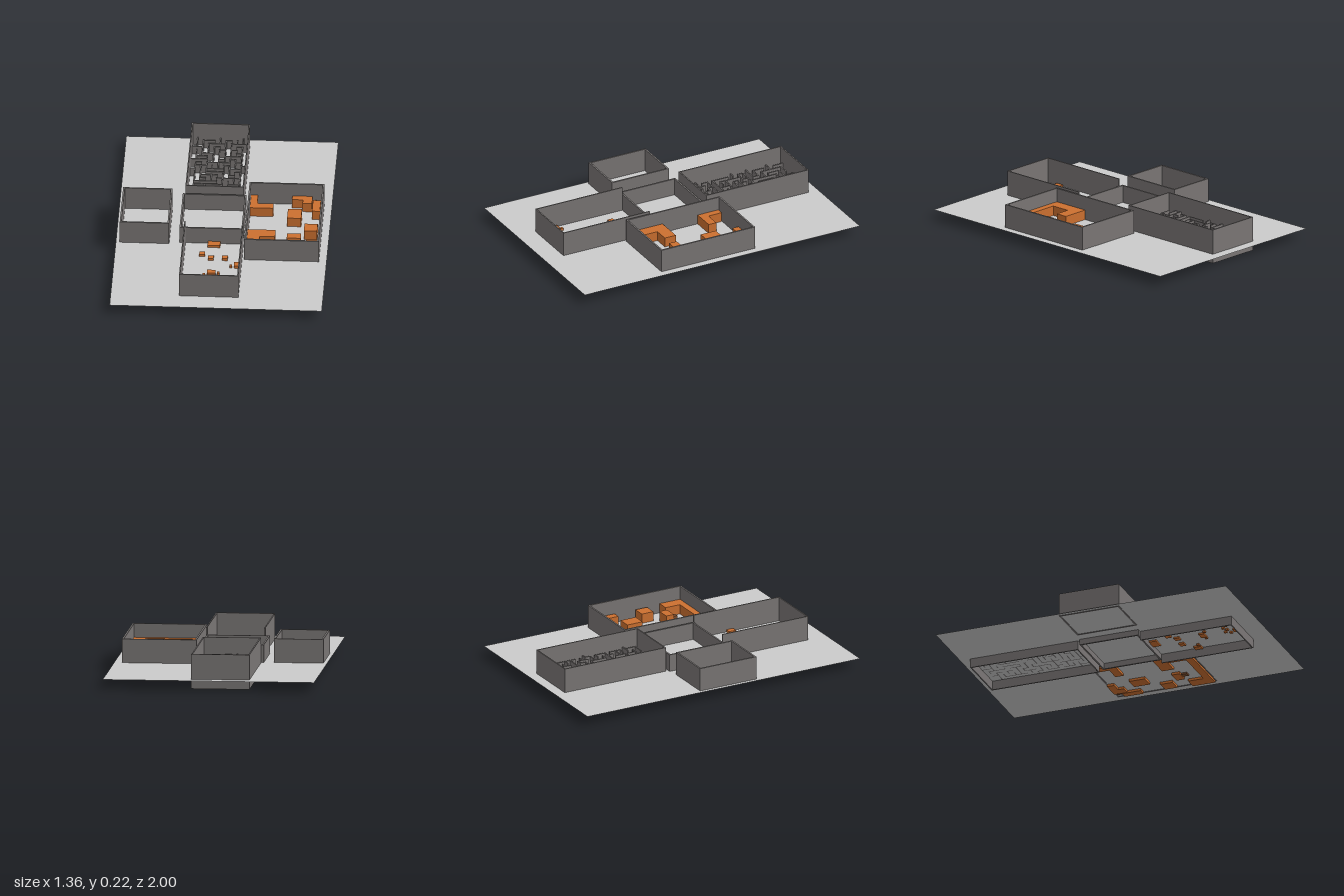
import * as THREE from 'three';
import { mergeGeometries } from 'three/addons/utils/BufferGeometryUtils.js';

const FLOOR = 0.061;
const floorMat = new THREE.MeshStandardMaterial({ color: 0xcccccc, side: THREE.DoubleSide });
const wallMat = new THREE.MeshStandardMaterial({ color: 0x7a7675 });
const orangeMat = new THREE.MeshStandardMaterial({ color: 0xcc7030 });
const brownMat = new THREE.MeshStandardMaterial({ color: 0x80502f });

// Box geometry from its limits
function slab(x0, x1, z0, z1, y0, y1) {
  return new THREE.BoxGeometry(x1 - x0, y1 - y0, z1 - z0)
    .translate((x0 + x1) / 2, (y0 + y1) / 2, (z0 + z1) / 2);
}

function addMesh(group, name, geometries, material) {
  const mesh = new THREE.Mesh(mergeGeometries(geometries), material);
  mesh.name = name;
  group.add(mesh);
}

// Walls around a rectangle; sides is a subset of 'lrfb'
function roomWalls(x0, x1, z0, z1, y0, y1, t, sides = 'lrfb') {
  const parts = {
    l: [x1 - t, x1, z0, z1],
    r: [x0, x0 + t, z0, z1],
    f: [x0 + t, x1 - t, z1 - t, z1],
    b: [x0 + t, x1 - t, z0, z0 + t],
  };
  return [...sides].map((s) => slab(...parts[s], y0, y1));
}

// Inner maze walls: carve a grid by a seeded depth-first walk
function mazeWalls(x0, x1, z0, z1, cols, rows, y0, y1, t) {
  let seed = 7;
  const rand = (n) => {
    seed = (seed * 16807) % 2147483647;
    return seed % n;
  };
  const cw = (x1 - x0) / cols, ch = (z1 - z0) / rows;
  const seen = new Set(['0,0']), open = new Set(), stack = [[0, 0]];
  while (stack.length) {
    const [c, r] = stack[stack.length - 1];
    const next = [[c + 1, r], [c - 1, r], [c, r + 1], [c, r - 1]].filter(([a, b]) =>
      a >= 0 && b >= 0 && a < cols && b < rows && !seen.has(`${a},${b}`));
    if (!next.length) { stack.pop(); continue; }
    const [a, b] = next[rand(next.length)];
    open.add(a !== c ? `v${Math.max(a, c)},${r}` : `h${c},${Math.max(b, r)}`);
    seen.add(`${a},${b}`);
    stack.push([a, b]);
  }
  const walls = [], h = t / 2;
  for (let c = 0; c < cols; c++) {
    for (let r = 0; r < rows; r++) {
      const x = x0 + c * cw, z = z0 + r * ch;
      if (c && !open.has(`v${c},${r}`)) walls.push(slab(x - h, x + h, z - h, z + ch + h, y0, y1));
      if (r && !open.has(`h${c},${r}`)) walls.push(slab(x - h, x + cw + h, z - h, z + h, y0, y1));
    }
  }
  return walls;
}

export function createModel() {
  const model = new THREE.Group();

  // Ground sheet
  const ground = new THREE.Mesh(new THREE.PlaneGeometry(1.36, 2).rotateX(-Math.PI / 2), floorMat);
  ground.position.y = FLOOR;
  ground.name = 'ground';
  model.add(ground);

  // Rooms
  addMesh(model, 'mazeOuterWalls', roomWalls(-0.257, 0.117, -0.93, -0.187, 0, 0.224, 0.008), wallMat);
  addMesh(model, 'mazeInnerWalls', mazeWalls(-0.253, 0.113, -0.926, -0.191, 10, 20, FLOOR, 0.12, 0.008), wallMat);
  addMesh(model, 'centreRoomWalls', roomWalls(-0.273, 0.135, -0.17, 0.235, 0.023, 0.175, 0.011), wallMat);
  addMesh(model, 'frontRoomWalls', roomWalls(-0.242, 0.138, 0.235, 0.864, 0, 0.224, 0.008, 'lrf'), wallMat);
  addMesh(model, 'sideRoomWalls', roomWalls(-0.655, -0.338, -0.16, 0.253, 0.058, 0.215, 0.011), wallMat);
  addMesh(model, 'furnishedRoomWalls', roomWalls(0.15, 0.63, -0.265, 0.416, 0.058, 0.215, 0.011), wallMat);

  // Furniture blocks in the large room: x0, x1, z0, z1
  const furniture = [
    [0.155, 0.205, -0.25, -0.155], [0.155, 0.31, -0.155, -0.10],
    [0.425, 0.555, -0.26, -0.21], [0.495, 0.555, -0.21, -0.17],
    [0.56, 0.61, -0.21, -0.08], [0.405, 0.495, -0.10, 0.01],
    [0.52, 0.605, 0.07, 0.155], [0.415, 0.505, 0.19, 0.245],
    [0.16, 0.34, 0.155, 0.235], [0.16, 0.24, 0.235, 0.36],
    [0.16, 0.622, 0.36, 0.41], [0.54, 0.622, 0.255, 0.36],
  ];
  addMesh(model, 'furniture', furniture.map((b) => slab(...b, 0.045, 0.125)), orangeMat);
  const stools = [[0.55, 0.58, -0.25, -0.215], [0.44, 0.475, 0.245, 0.285]];
  addMesh(model, 'stools', stools.map((b) => slab(...b, 0.05, 0.10)), brownMat);

  // Low blocks in the front room: x, z, width, depth
  const lowBlocks = [
    [-0.05, 0.26, 0.08, 0.05], [-0.12, 0.377, 0.036, 0.036], [-0.062, 0.42, 0.036, 0.036],
    [0.028, 0.418, 0.036, 0.036], [0.11, 0.496, 0.038, 0.05], [0.071, 0.51, 0.017, 0.017],
    [-0.05, 0.59, 0.055, 0.037], [-0.005, 0.598, 0.017, 0.017], [-0.097, 0.62, 0.017, 0.017],
    [-0.178, 0.707, 0.017, 0.017], [-0.205, 0.742, 0.04, 0.054], [-0.153, 0.757, 0.017, 0.017],
    [-0.13, 0.778, 0.017, 0.017], [-0.1, 0.75, 0.017, 0.017], [-0.073, 0.768, 0.017, 0.017],
    [-0.043, 0.745, 0.017, 0.017], [-0.023, 0.776, 0.017, 0.017], [-0.048, 0.829, 0.038, 0.055],
  ];
  addMesh(model, 'lowBlocks', lowBlocks.map(([x, z, w, d]) =>
    slab(x - w / 2, x + w / 2, z - d / 2, z + d / 2, 0.05, 0.077)), orangeMat);

  return model;
}
